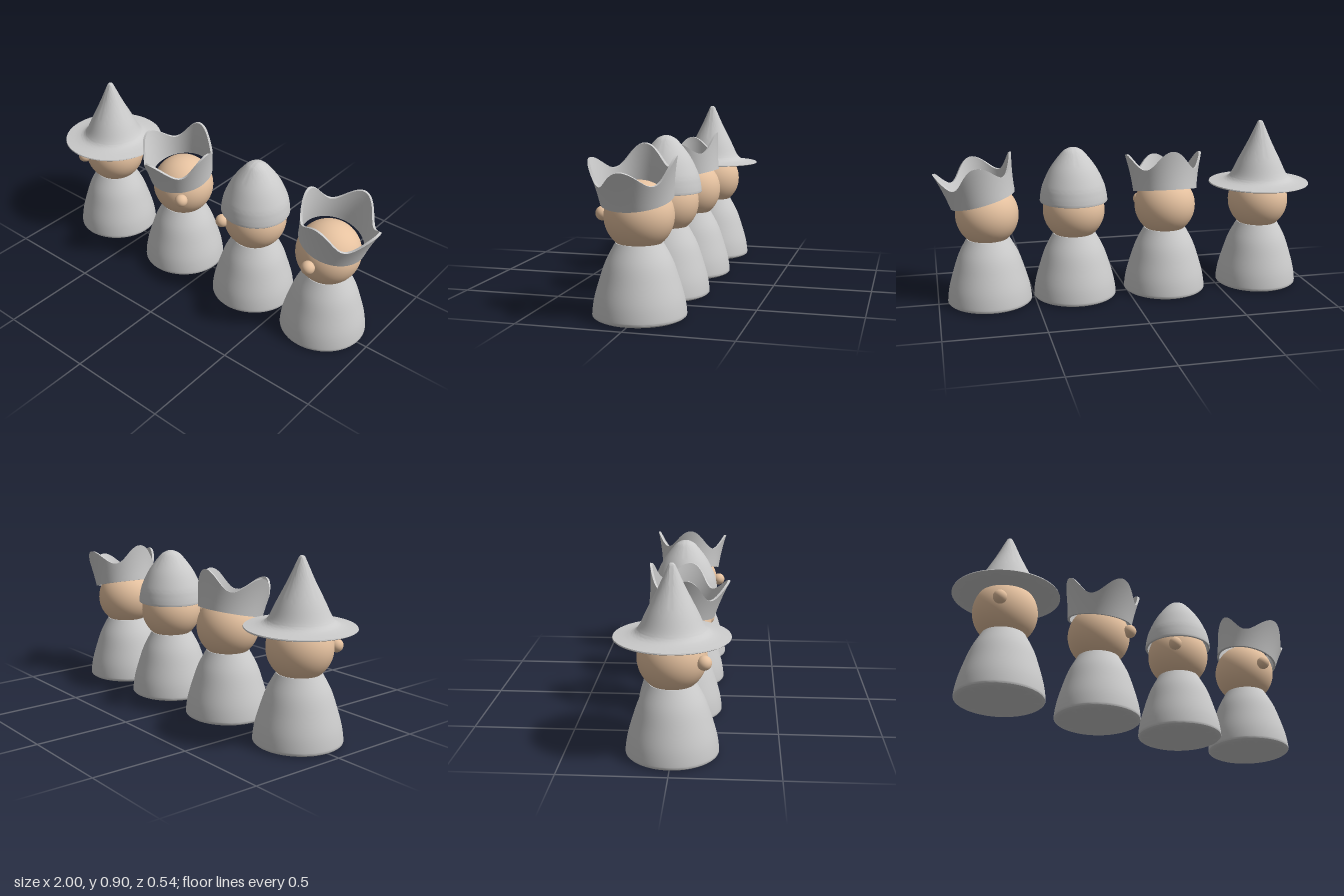
import * as THREE from 'three';
import { toCreasedNormals } from 'three/addons/utils/BufferGeometryUtils.js';

const grey = new THREE.MeshStandardMaterial({ color: 0xcccccc, side: THREE.DoubleSide });
const skin = new THREE.MeshStandardMaterial({ color: 0xe6c2a0 });
const HEAD_Y = 0.467, HEAD_R = 0.161;

const vec = (pairs) => pairs.map(([x, y]) => new THREE.Vector2(x, y));
const smooth = (pairs, n) => new THREE.SplineCurve(vec(pairs)).getPoints(n);

function add(parent, name, geometry, material) {
  const mesh = new THREE.Mesh(geometry, material);
  mesh.name = name;
  parent.add(mesh);
  return mesh;
}

const turned = (points) => toCreasedNormals(new THREE.LatheGeometry(points, 64), 0.7);

// Bell-shaped robe with a small rounded foot
const bodyGeometry = turned([
  ...vec([[0, 0], [0.195, 0]]),
  ...smooth([[0.2, 0.001], [0.213, 0.008], [0.217, 0.022], [0.207, 0.09], [0.184, 0.172],
    [0.153, 0.262], [0.109, 0.345]], 30),
  ...vec([[0, 0.345]]),
]);

// Wide-brimmed pointed hat
function pointedHat() {
  return turned([
    ...vec([[0.11, 0.556], [0.2, 0.557], [0.264, 0.56], [0.268, 0.563], [0.266, 0.568]]),
    ...smooth([[0.255, 0.569], [0.205, 0.576], [0.17, 0.588], [0.147, 0.615], [0.112, 0.688],
      [0.063, 0.785], [0.024, 0.872], [0.012, 0.895], [0, 0.901]], 48),
  ]);
}

// Domed cap with a hollow rim
function domedCap() {
  return turned([
    ...vec([[0.09, 0.605], [0.15, 0.58], [0.164, 0.517], [0.174, 0.517]]),
    ...smooth([[0.176, 0.521], [0.171, 0.56], [0.158, 0.61], [0.118, 0.692],
      [0.058, 0.77], [0.025, 0.792], [0, 0.798]], 36),
  ]);
}

// Flared crown: a thin ring whose height rises to four peaks
function crown() {
  const steps = 6, wall = 0.012;
  const profile = [];
  for (let i = 0; i <= steps; i++) profile.push(new THREE.Vector2(0.168, i / steps));
  for (let i = steps; i >= 0; i--) profile.push(new THREE.Vector2(0.168 - wall, i / steps));
  profile.push(profile[0].clone());
  const geometry = new THREE.LatheGeometry(profile, 96);
  const p = geometry.attributes.position;
  for (let i = 0; i < p.count; i++) {
    const x = p.getX(i), z = p.getZ(i);
    const r = Math.hypot(x, z), angle = Math.atan2(x, z);
    const y = p.getY(i) * (0.15 + 0.045 * Math.cos(4 * angle));
    const k = (r + 0.1 * y + 0.45 * y * y) / r;
    p.setXYZ(i, x * k, y, z * k);
  }
  return toCreasedNormals(geometry, 0.7);
}

function figure(name, x, noseX) {
  const group = new THREE.Group();
  group.name = name;
  group.position.x = x;
  add(group, 'body', bodyGeometry, grey);
  add(group, 'head', new THREE.SphereGeometry(HEAD_R, 48, 32), skin).position.y = HEAD_Y;
  const nose = add(group, 'nose', new THREE.SphereGeometry(0.034, 24, 16), skin);
  nose.position.set(noseX, 0.47, Math.sqrt(0.174 ** 2 - noseX ** 2));
  return group;
}

export function createModel() {
  const model = new THREE.Group();
  model.name = 'pegFigures';

  const wizard = figure('wizardFigure', -0.73, -0.09);
  add(wizard, 'pointedHat', pointedHat(), grey);

  const king = figure('forwardCrownFigure', -0.205, 0.106);
  const kingCrown = add(king, 'crown', crown(), grey);
  kingCrown.position.set(-0.003, 0.545, 0.012);
  kingCrown.rotation.x = 0.21;

  const knight = figure('cappedFigure', 0.286, -0.106);
  add(knight, 'domedCap', domedCap(), grey);

  const queen = figure('sideCrownFigure', 0.735, 0);
  const queenCrown = add(queen, 'crown', crown(), grey);
  queenCrown.position.set(0.018, 0.547, 0.003);
  queenCrown.rotation.set(0.04, 0, -0.245);

  model.add(wizard, king, knight, queen);
  return model;
}
